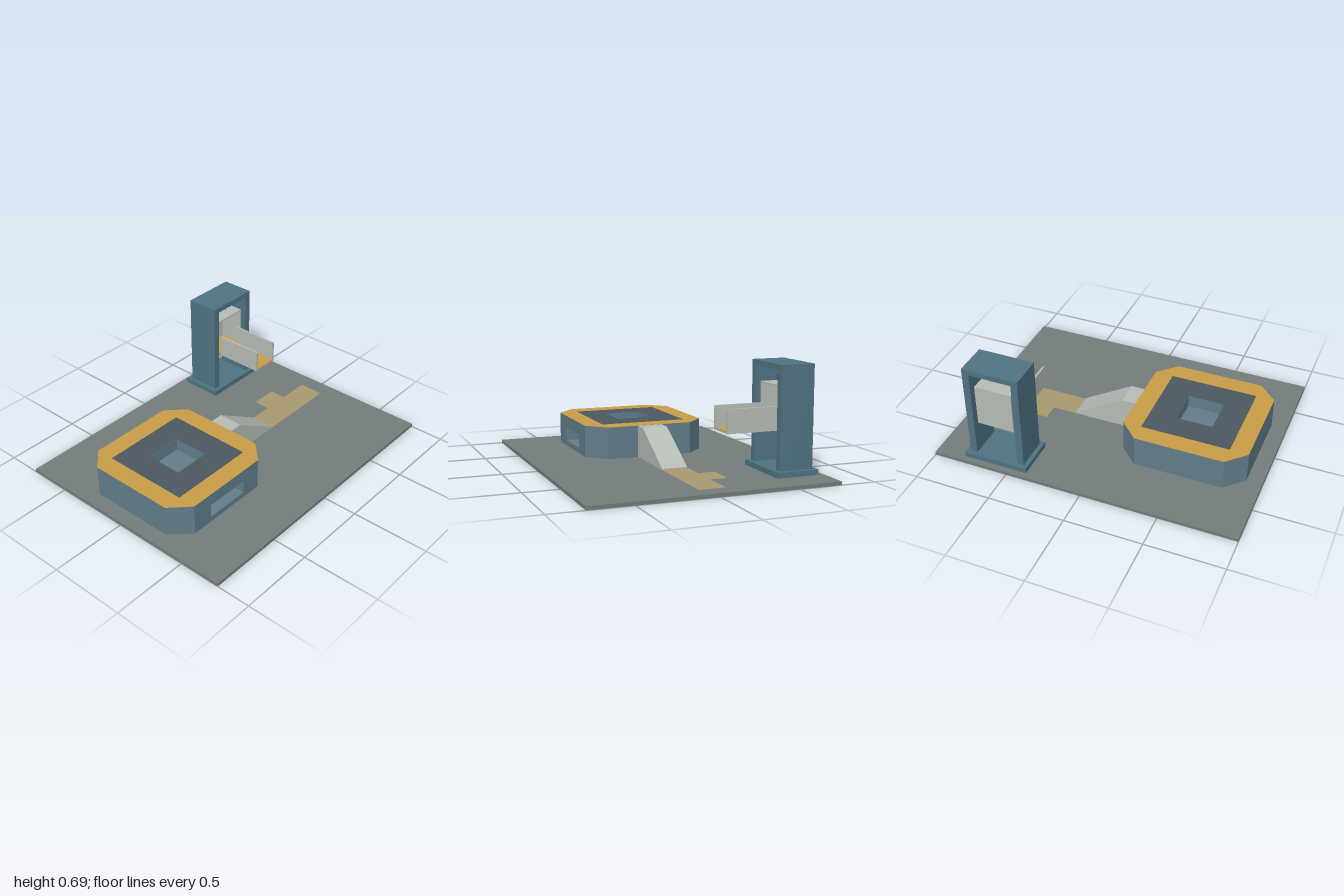
import * as THREE from 'three';

const mat = (color) => new THREE.MeshStandardMaterial({ color, flatShading: true });
const M = {
  ground: mat(0x747c7c),
  steel: mat(0x4f7482),
  body: mat(0x627d8a),
  deck: mat(0x4d5860),
  amber: mat(0xc99c48),
  path: mat(0xa89a70),
  pale: mat(0xb6bcb6),
  cable: mat(0x30383c),
};

function add(parent, name, geometry, material) {
  const mesh = new THREE.Mesh(geometry, material);
  mesh.name = name;
  parent.add(mesh);
  return mesh;
}

// Box given by its limits on each axis
function box(parent, name, material, [x0, x1], [y0, y1], [z0, z1]) {
  const g = new THREE.BoxGeometry(x1 - x0, y1 - y0, z1 - z0);
  g.translate((x0 + x1) / 2, (y0 + y1) / 2, (z0 + z1) / 2);
  return add(parent, name, g, material);
}

// Plan outline from [x, z] points, with an optional hole
const toV2 = (points) => points.map(([x, z]) => new THREE.Vector2(x, -z));
function plan(points, hole) {
  const shape = new THREE.Shape(toV2(points));
  if (hole) shape.holes.push(new THREE.Path(toV2(hole)));
  return shape;
}
const rect = (x0, x1, z0, z1) => [[x0, z1], [x1, z1], [x1, z0], [x0, z0]];

function slab(parent, name, material, shape, y0, y1) {
  const g = new THREE.ExtrudeGeometry(shape, { depth: y1 - y0, bevelEnabled: false });
  return add(parent, name, g.rotateX(-Math.PI / 2).translate(0, y0, 0), material);
}
function sheet(parent, name, material, shape, y) {
  return add(parent, name, new THREE.ShapeGeometry(shape).rotateX(-Math.PI / 2).translate(0, y, 0), material);
}

function createPlatform() {
  const g = new THREE.Group();
  g.name = 'platform';
  const x0 = -0.9, x1 = -0.085, h = 0.405, c = 0.12;
  const back = [[x1, h - c], [x1, -h + c], [x1 - c, -h], [x0 + c, -h], [x0, -h + c], [x0, h - c]];
  const octagon = [[x0 + c, h], [x1 - c, h], ...back];
  // Front edge cut back for the window recess
  const notched = [[x0 + c, h], [-0.64, h], [-0.64, 0.285], [-0.34, 0.285], [-0.34, h], [x1 - c, h], ...back];
  const pit = rect(-0.615, -0.375, -0.12, 0.12);
  const inner = rect(x0 + c, x1 - c, -0.285, 0.285);

  slab(g, 'platformFoot', M.body, plan(octagon), 0.022, 0.058);
  slab(g, 'platformWindowLayer', M.body, plan(notched), 0.058, 0.147);
  slab(g, 'platformPitLayer', M.body, plan(octagon, pit), 0.147, 0.228);
  sheet(g, 'platformBorder', M.amber, plan(octagon, inner), 0.2295);
  sheet(g, 'platformDeck', M.deck, plan(inner, pit), 0.2295);
  return g;
}

function createRamp() {
  const profile = [[-0.085, 0.022], [0.34, 0.022], [0.34, 0.03], [0.005, 0.228], [-0.085, 0.228]];
  const shape = new THREE.Shape(profile.map(([x, y]) => new THREE.Vector2(x, y)));
  const g = new THREE.ExtrudeGeometry(shape, { depth: 0.166, bevelEnabled: false }).translate(0, 0, -0.083);
  const ramp = new THREE.Mesh(g, M.pale);
  ramp.name = 'ramp';
  return ramp;
}

function createLift() {
  const g = new THREE.Group();
  g.name = 'lift';
  const cx = 0.59; // lift centre line
  const span = (a, b) => [cx + Math.min(a, b), cx + Math.max(a, b)];
  const depth = [-0.71, -0.49];

  // Frame
  box(g, 'liftBase', M.steel, [0.378, 0.802], [0.022, 0.056], [-0.738, -0.462]);
  box(g, 'liftHeader', M.steel, span(-0.185, 0.185), [0.655, 0.69], depth);

  // Cabin, open to the front
  const cabinZ = [-0.69, -0.515];
  box(g, 'cabinFloor', M.pale, span(-0.122, 0.122), [0.285, 0.296], cabinZ);
  box(g, 'cabinRoof', M.pale, span(-0.122, 0.122), [0.549, 0.56], cabinZ);
  box(g, 'cabinBack', M.pale, span(-0.111, 0.111), [0.296, 0.549], [-0.69, -0.678]);
  box(g, 'cabinFloorCover', M.amber, span(-0.111, 0.111), [0.296, 0.299], [-0.678, -0.515]);

  // Loading tray
  box(g, 'trayFloor', M.pale, span(-0.093, 0.093), [0.285, 0.296], [-0.515, -0.19]);
  box(g, 'trayFloorCover', M.amber, span(-0.08, 0.08), [0.296, 0.299], [-0.515, -0.19]);

  // Mirrored pairs
  for (const s of [-1, 1]) {
    box(g, 'liftPost', M.steel, span(s * 0.185, s * 0.14), [0.056, 0.655], depth);
    box(g, 'guideBracket', M.steel, span(s * 0.14, s * 0.122), [0.312, 0.357], [-0.625, -0.58]);
    box(g, 'cabinSide', M.pale, span(s * 0.122, s * 0.111), [0.296, 0.549], cabinZ);
    box(g, 'traySide', M.pale, span(s * 0.093, s * 0.08), [0.296, 0.432], [-0.515, -0.19]);
    const cable = new THREE.CylinderGeometry(0.004, 0.004, 0.095, 8);
    add(g, 'cable', cable.translate(cx + s * 0.055, 0.6075, -0.6), M.cable);
  }
  return g;
}

export function createModel() {
  const model = new THREE.Group();
  model.name = 'rampAndLiftStation';
  box(model, 'groundPlate', M.ground, [-1, 1], [0, 0.022], [-0.777, 0.777]);
  // T-shaped floor marking from the ramp to the lift
  const marking = [[0.34, 0.083], [0.89, 0.083], [0.89, -0.085], [0.68, -0.085],
    [0.68, -0.195], [0.5, -0.195], [0.5, -0.085], [0.34, -0.085]];
  sheet(model, 'floorMarking', M.path, plan(marking), 0.0235);
  model.add(createPlatform(), createRamp(), createLift());
  return model;
}
